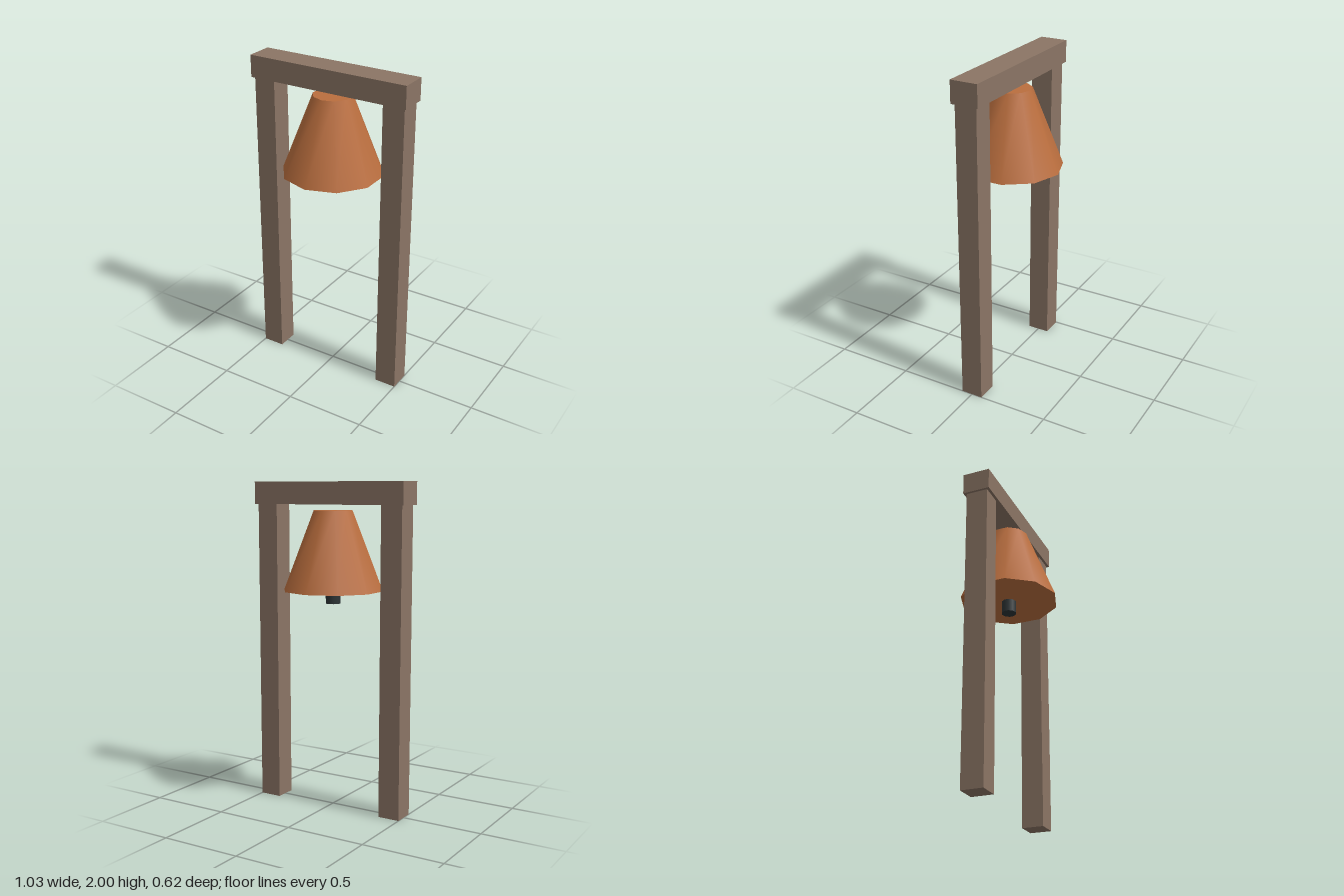
import * as THREE from 'three';

export function createModel() {
  const group = new THREE.Group();
  const material = (name, color) => {
    const m = new THREE.MeshStandardMaterial({ color });
    m.name = name;
    return m;
  };
  const wood = material('weathered wood', 0x8b7565);
  const copper = material('copper', 0xba6e3e);
  const iron = material('dark iron', 0x2d3436);

  const add = (name, geometry, mat, x, y) => {
    const mesh = new THREE.Mesh(geometry, mat);
    mesh.name = name;
    mesh.position.set(x, y, 0);
    group.add(mesh);
  };

  // Frame: two square posts under a crossbeam
  const beamBottom = 1.865, beamHeight = 0.135;
  const post = new THREE.BoxGeometry(0.136, beamBottom, 0.136);
  for (const side of [-1, 1]) {
    add(side > 0 ? 'leftPost' : 'rightPost', post, wood, side * 0.432, beamBottom / 2);
  }
  add('crossbeam', new THREE.BoxGeometry(1.03, beamHeight, 0.17), wood, 0, beamBottom + beamHeight / 2);

  // Ten-sided bell, closed at both ends
  add('bell', new THREE.CylinderGeometry(0.12, 0.308, 0.48, 10), copper, 0, 1.59);

  // Clapper reaching out below the bell
  add('clapper', new THREE.CylinderGeometry(0.046, 0.046, 0.16, 10), iron, 0, 1.35);

  return group;
}
